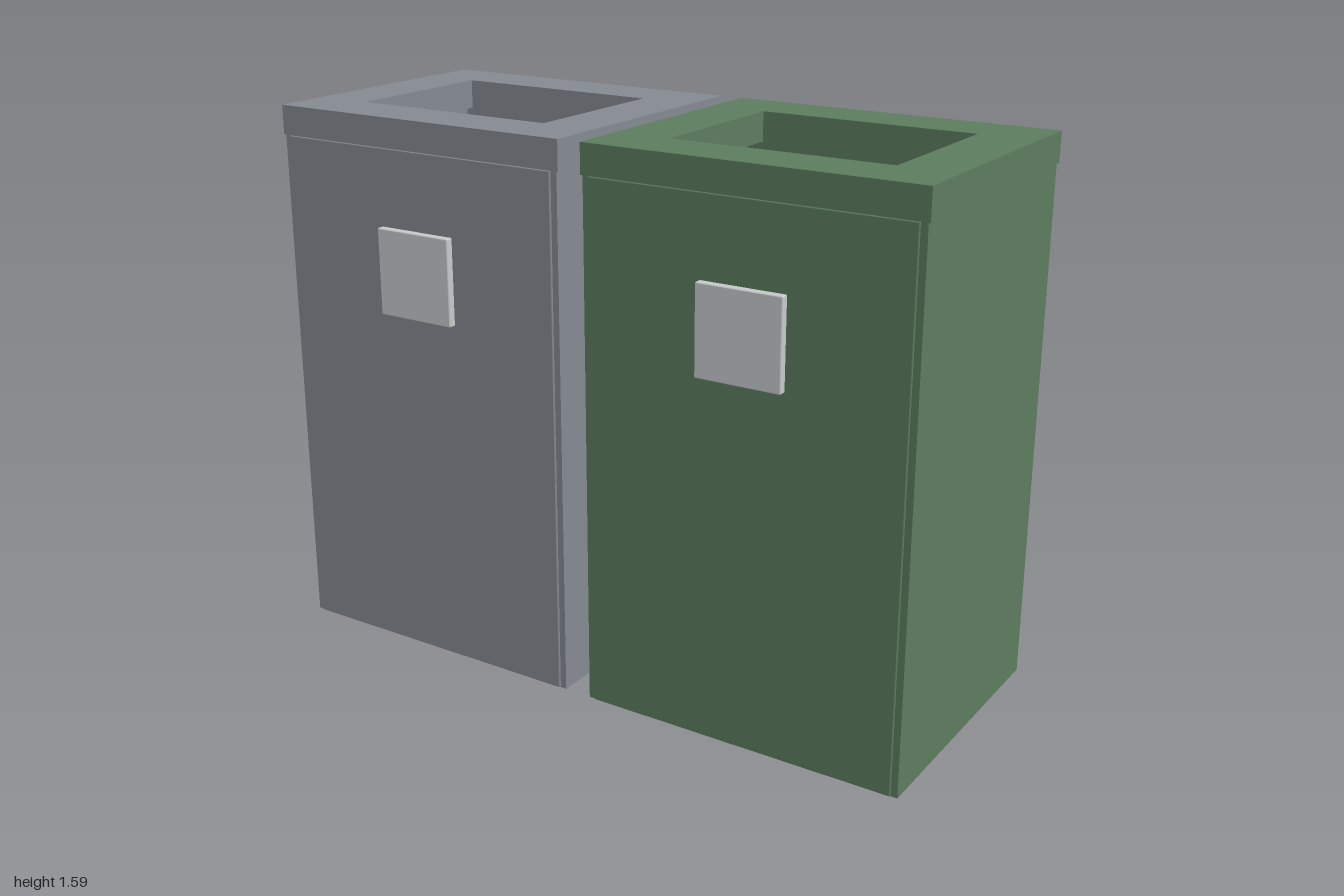
import * as THREE from 'three';
import { RoundedBoxGeometry } from 'three/addons/geometries/RoundedBoxGeometry.js';

const paint = (name, color) => new THREE.MeshStandardMaterial({ name, color });

// Rectangular frame with a rectangular hole, from y0 up to y1
function frame(w, d, holeW, holeD, y0, y1) {
  const rect = (path, a, b) => path.moveTo(-a / 2, -b / 2).lineTo(a / 2, -b / 2)
    .lineTo(a / 2, b / 2).lineTo(-a / 2, b / 2).closePath();
  const shape = rect(new THREE.Shape(), w, d);
  shape.holes.push(rect(new THREE.Path(), holeW, holeD));
  return new THREE.ExtrudeGeometry(shape, { depth: y1 - y0, bevelEnabled: false })
    .rotateX(-Math.PI / 2).translate(0, y0, 0);
}

export function createModel() {
  const grey = paint('grey paint', 0x848a91);
  const green = paint('green paint', 0x5c7c5e);
  const dark = paint('dark base', 0x2d2d35);
  const silver = paint('light plate', 0xc5c9c9);

  const W = 0.965, D = 0.814, H = 1.585, lidY = 1.5;

  function bin(name, body) {
    const g = new THREE.Group();
    g.name = name;
    const add = (part, geometry, material, x = 0, y = 0, z = 0) => {
      const m = new THREE.Mesh(geometry, material);
      m.name = part;
      m.position.set(x, y, z);
      g.add(m);
    };
    // Hollow shell and overhanging rim
    add('shell', frame(W - 0.012, D - 0.004, W - 0.1, D - 0.1, 0.005, lidY), body);
    add('rim', frame(W, D, W - 0.33, D - 0.33, lidY, H), body);
    // Slightly proud front and back panels
    for (const s of [1, -1])
      add(s > 0 ? 'frontPanel' : 'backPanel',
        new RoundedBoxGeometry(0.915, lidY - 0.006, 0.012, 2, 0.003), body,
        0, (lidY + 0.006) / 2, s * (D / 2 - 0.002));
    // Dark floor inside and base plate below
    add('floor', new THREE.BoxGeometry(W - 0.1, 0.03, D - 0.1), dark, 0, 0.02, 0);
    add('basePlate', new THREE.BoxGeometry(W - 0.045, 0.008, D - 0.035), dark, 0, 0.004, 0);
    // Square label plate on the front
    add('labelPlate', new RoundedBoxGeometry(0.248, 0.25, 0.03, 2, 0.004), silver,
      0, 1.154, 0.417);
    return g;
  }

  const model = new THREE.Group();
  model.name = 'twinBins';
  const left = bin('greenBin', green), right = bin('greyBin', grey);
  left.position.set(0.5175, 0, -0.011);
  right.position.set(-0.5175, 0, -0.011);
  model.add(left, right);
  return model;
}
